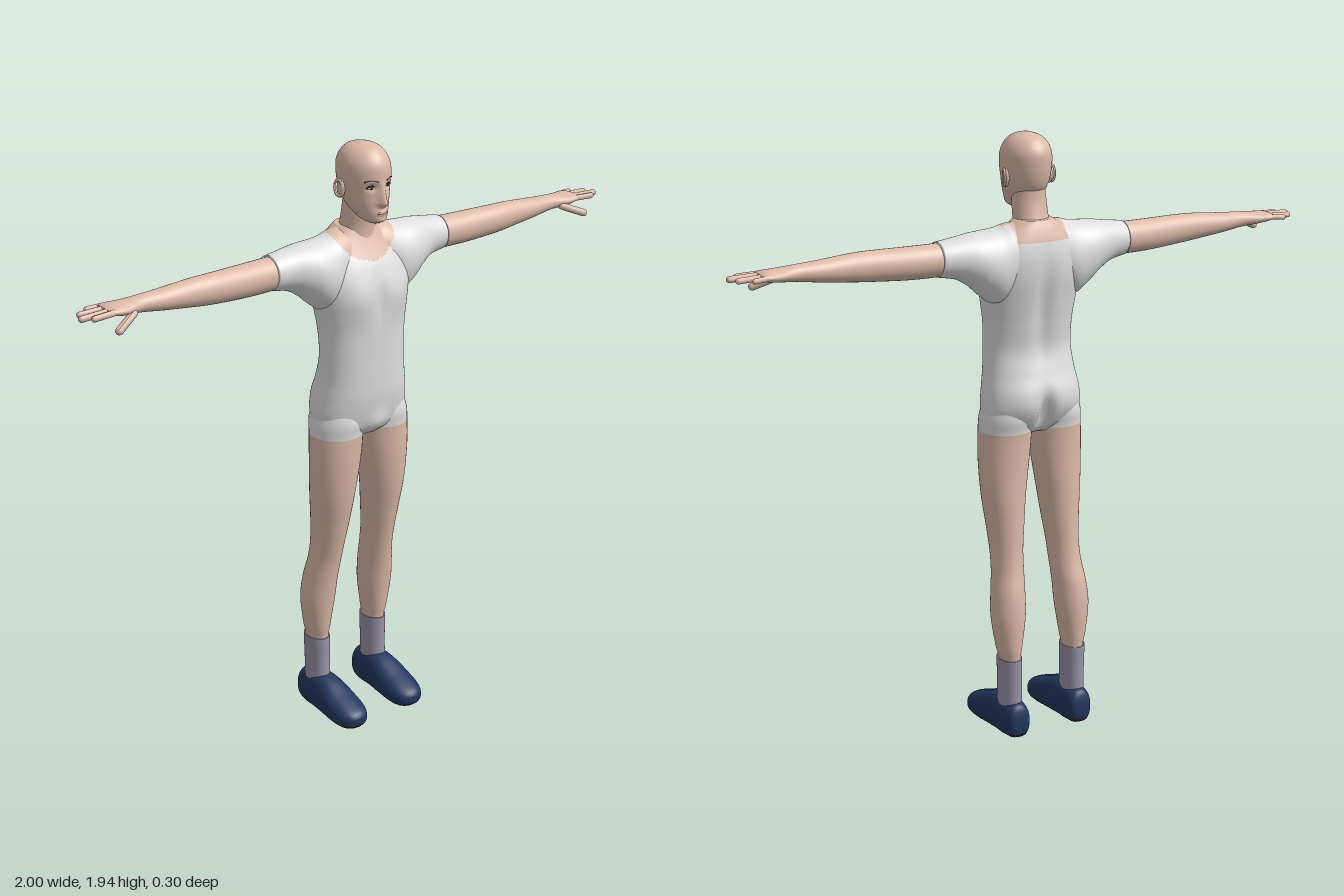
import * as THREE from 'three';

const mat = (name, color, side = THREE.FrontSide) => {
  const m = new THREE.MeshStandardMaterial({ color, side });
  m.name = name;
  return m;
};
const skin = mat('skin', 0xdcbaa8);
const shirt = mat('shirt white', 0xdedede);
const sockMat = mat('sock lilac', 0x9a94a8);
const shoeMat = mat('shoe navy', 0x23375f);
const soleMat = mat('sole black', 0x1d1d1f);
const eyeWhite = mat('eye white', 0xe8e6e2);
const dark = mat('brow and iris dark', 0x33261f);
const lipMat = mat('lip', 0xb98578);

const bell = (d, w) => Math.exp(-(d * d) / (w * w));
const clamp = THREE.MathUtils.clamp;

// Smooth interpolation between four keys
function spline(p0, p1, p2, p3, t) {
  const m1 = (p2 - p0) / 2, m2 = (p3 - p1) / 2, t2 = t * t, t3 = t2 * t;
  return (2 * t3 - 3 * t2 + 1) * p1 + (t3 - 2 * t2 + t) * m1 + (3 * t2 - 2 * t3) * p2 + (t3 - t2) * m2;
}

// Loft through rings [position, min1, max1, min2, max2] along an axis (ascending).
// shape(v) moves a vertex, pick(v) gives the material group of a face.
function loft(axis, keys, { seg = 32, steps = 5, n = 2, shape, pick } = {}) {
  const rows = [];
  for (let i = 0; i < keys.length - 1; i++) {
    const k = [keys[Math.max(i - 1, 0)], keys[i], keys[i + 1], keys[Math.min(i + 2, keys.length - 1)]];
    for (let s = 0; s < steps; s++) rows.push(k[1].map((_, j) => spline(k[0][j], k[1][j], k[2][j], k[3][j], s / steps)));
  }
  rows.push(keys[keys.length - 1]);

  const pts = [];
  const add = (p, a, b) => {
    const v = axis === 'x' ? new THREE.Vector3(p, a, b) : axis === 'y' ? new THREE.Vector3(a, p, b) : new THREE.Vector3(a, b, p);
    if (shape) shape(v);
    pts.push(v);
  };
  const power = c => Math.sign(c) * Math.abs(c) ** (2 / n);
  for (const [p, a0, a1, b0, b1] of rows) for (let j = 0; j < seg; j++) {
    const t = (j / seg) * Math.PI * 2;
    add(p, (a0 + a1) / 2 + (a1 - a0) / 2 * power(Math.cos(t)), (b0 + b1) / 2 + (b1 - b0) / 2 * power(Math.sin(t)));
  }
  const ends = [rows[0], rows[rows.length - 1]];
  for (const [p, a0, a1, b0, b1] of ends) add(p, (a0 + a1) / 2, (b0 + b1) / 2);

  const faces = [[], []];
  const tri = (a, b, c) => {
    const mid = pts[a].clone().add(pts[b]).add(pts[c]).divideScalar(3);
    faces[pick ? pick(mid) : 0].push(...(axis === 'y' ? [a, c, b] : [a, b, c]));
  };
  const last = (rows.length - 1) * seg, c0 = rows.length * seg;
  for (let j = 0; j < seg; j++) {
    const k = (j + 1) % seg;
    for (let r = 0; r < last; r += seg) {
      tri(r + j, r + k, r + seg + j);
      tri(r + k, r + seg + k, r + seg + j);
    }
    tri(c0, k, j);
    tri(c0 + 1, last + j, last + k);
  }
  const g = new THREE.BufferGeometry().setFromPoints(pts);
  g.setIndex([...faces[0], ...faces[1]]);
  if (pick) {
    g.addGroup(0, faces[0].length, 0);
    g.addGroup(faces[0].length, faces[1].length, 1);
  }
  g.computeVertexNormals();
  return g;
}

// Mirrored copy across x = 0
function mirror(geo) {
  const g = geo.clone().scale(-1, 1, 1);
  const ix = g.index.array;
  for (let i = 0; i < ix.length; i += 3) [ix[i], ix[i + 1]] = [ix[i + 1], ix[i]];
  g.computeVertexNormals();
  return g;
}

const ball = (x, y, z, rx, ry, rz) => new THREE.SphereGeometry(1, 20, 14).scale(rx, ry, rz).translate(x, y, z);
const tube = (points, r) => new THREE.TubeGeometry(new THREE.CatmullRomCurve3(points.map(p => new THREE.Vector3(...p))), 12, r, 6);
const sym = keys => keys.map(([y, h, z0, z1]) => [y, -h, h, z0, z1]);

// Round-ended finger between two points
function finger(a, b, r) {
  const from = new THREE.Vector3(...a), dir = new THREE.Vector3(...b).sub(from), len = dir.length();
  const g = new THREE.CapsuleGeometry(r, len - 2 * r, 5, 10).translate(0, len / 2, 0);
  g.applyQuaternion(new THREE.Quaternion().setFromUnitVectors(new THREE.Vector3(0, 1, 0), dir.normalize()));
  return g.translate(...a);
}

// Neckline: rounded scoop in front, squarer at the back
const neckline = v => {
  const scoop = v.z > -0.03 && (v.x / 0.115) ** 2 + ((v.y - 1.68) / 0.1) ** 2 < 1;
  const back = v.z <= -0.03 && Math.abs(v.x) < 0.09 && v.y > 1.618;
  return scoop || back ? 1 : 0;
};

export function createModel() {
  const model = new THREE.Group();
  const put = (name, geo, material) => {
    const m = new THREE.Mesh(geo, material);
    m.name = name;
    model.add(m);
  };
  const pair = (name, geo, material) => {
    put(name + 'Left', geo, material);
    put(name + 'Right', mirror(geo), material);
  };

  // Torso with spine groove, chest and seat
  put('torso', loft('y', sym([
    [1.0, 0.10, -0.06, 0.05], [1.03, 0.155, -0.09, 0.08], [1.08, 0.168, -0.113, 0.095], [1.14, 0.162, -0.118, 0.105],
    [1.20, 0.152, -0.10, 0.107], [1.27, 0.147, -0.082, 0.107], [1.35, 0.148, -0.09, 0.108], [1.42, 0.158, -0.10, 0.11],
    [1.50, 0.17, -0.113, 0.107], [1.56, 0.165, -0.115, 0.088], [1.61, 0.14, -0.108, 0.06], [1.65, 0.10, -0.095, 0.04],
    [1.68, 0.06, -0.08, 0.03]]), {
    seg: 96, steps: 6, n: 2.25, pick: neckline,
    shape: v => {
      if (v.z < -0.03) {
        v.z += 0.016 * bell(v.x, 0.028) * bell(v.y - 1.38, 0.16) + 0.03 * bell(v.x, 0.02) * bell(v.y - 1.07, 0.06);
        v.z -= 0.008 * bell(Math.abs(v.x) - 0.075, 0.05) * bell(v.y - 1.1, 0.05);
      } else if (v.z > 0.03) {
        v.z += 0.008 * bell(Math.abs(v.x) - 0.075, 0.05) * bell(v.y - 1.46, 0.05) - 0.006 * bell(v.x, 0.02) * bell(v.y - 1.46, 0.08);
        v.z += 0.012 * bell(v.x, 0.035) * bell(v.y - 1.05, 0.035);
      }
    } }), [shirt, skin]);

  // Shoulders and sleeves
  pair('sleeve', loft('x', [
    [0, 1.50, 1.67, -0.09, 0.04], [0.08, 1.46, 1.672, -0.10, 0.06], [0.13, 1.42, 1.66, -0.105, 0.075],
    [0.18, 1.45, 1.655, -0.103, 0.075], [0.22, 1.485, 1.652, -0.096, 0.062], [0.27, 1.515, 1.645, -0.083, 0.045],
    [0.33, 1.528, 1.637, -0.072, 0.038]], { seg: 72, steps: 8, pick: neckline }), [shirt, skin]);

  // Arms down to the palm
  pair('arm', loft('x', [
    [0.30, 1.53, 1.633, -0.068, 0.034], [0.42, 1.53, 1.632, -0.06, 0.036], [0.55, 1.538, 1.632, -0.048, 0.038],
    [0.62, 1.545, 1.63, -0.046, 0.034], [0.72, 1.557, 1.622, -0.044, 0.028], [0.79, 1.567, 1.618, -0.04, 0.022],
    [0.85, 1.573, 1.613, -0.053, 0.034], [0.89, 1.58, 1.611, -0.06, 0.034], [0.908, 1.588, 1.605, -0.054, 0.028]]), skin);

  // Fingers and thumb
  [[0.022, 0.026, 0.97, 0.0095], [0, 0.005, 1.0, 0.01], [-0.025, -0.03, 0.985, 0.0095], [-0.047, -0.059, 0.945, 0.0085]]
    .forEach(([z0, z1, x, r], i) => pair('finger' + (i + 1), finger([0.87, 1.597, z0], [x, 1.593, z1], r), skin));
  pair('thumb', finger([0.82, 1.585, 0.018], [0.91, 1.548, 0.06], 0.012), skin);

  // Legs, with the hem of the shorts above the thigh
  pair('leg', loft('y', [
    [0.10, 0.087, 0.148, -0.122, -0.036], [0.25, 0.085, 0.15, -0.124, -0.033], [0.30, 0.078, 0.16, -0.128, -0.026],
    [0.40, 0.063, 0.174, -0.132, -0.012], [0.48, 0.06, 0.168, -0.125, 0], [0.55, 0.056, 0.158, -0.108, 0.012],
    [0.62, 0.052, 0.156, -0.098, 0.028], [0.70, 0.042, 0.162, -0.093, 0.046], [0.80, 0.03, 0.172, -0.09, 0.066],
    [0.92, 0.012, 0.178, -0.088, 0.078], [1.01, 0.004, 0.176, -0.092, 0.082], [1.06, 0.004, 0.17, -0.10, 0.085],
    [1.12, 0.02, 0.15, -0.09, 0.07]], { seg: 36, pick: v => (v.y > 1.01 ? 1 : 0) }), [skin, shirt]);

  // Socks
  pair('sock', loft('y', [
    [0.05, 0.08, 0.155, -0.128, -0.02], [0.15, 0.081, 0.154, -0.128, -0.028], [0.25, 0.08, 0.156, -0.13, -0.027],
    [0.26, 0.081, 0.155, -0.129, -0.028]]), sockMat);

  // Shoes, flattened underneath to a dark sole
  pair('shoe', loft('z', [
    [-0.152, 0.095, 0.138, 0.03, 0.075], [-0.14, 0.078, 0.154, -0.004, 0.108], [-0.10, 0.069, 0.163, -0.012, 0.118],
    [-0.05, 0.066, 0.167, -0.012, 0.126], [0, 0.06, 0.172, -0.012, 0.116], [0.06, 0.056, 0.176, -0.012, 0.09],
    [0.11, 0.061, 0.171, -0.01, 0.07], [0.14, 0.078, 0.154, 0, 0.055], [0.152, 0.1, 0.132, 0.018, 0.04]], {
    seg: 48, n: 2.3, shape: v => { v.y = Math.max(v.y, 0.003 * (1 + Math.cos(v.z * 20 + 2.2)) * 0.5); },
    pick: v => (v.y < 0.013 ? 1 : 0) }), [shoeMat, soleMat]);

  // Neck
  put('neck', loft('y', sym([[1.58, 0.06, -0.085, 0.045], [1.64, 0.063, -0.08, 0.043], [1.68, 0.057, -0.065, 0.043],
    [1.73, 0.055, -0.053, 0.05], [1.78, 0.05, -0.05, 0.05]])), skin);

  // Head with nose, eye sockets and chin
  put('head', loft('y', sym([
    [1.703, 0.02, 0.055, 0.095], [1.715, 0.038, 0.02, 0.111], [1.74, 0.053, -0.025, 0.113], [1.77, 0.065, -0.052, 0.111],
    [1.80, 0.072, -0.066, 0.11], [1.84, 0.077, -0.074, 0.114], [1.88, 0.075, -0.075, 0.111], [1.91, 0.062, -0.06, 0.094],
    [1.93, 0.04, -0.035, 0.068], [1.94, 0.01, 0.005, 0.03]]), {
    seg: 96, steps: 8, shape: v => {
      if (v.z < 0.05) return;
      const ax = Math.abs(v.x);
      const nose = v.y > 1.768 ? clamp((1.835 - v.y) / 0.067, 0, 1) : clamp((v.y - 1.752) / 0.016, 0, 1);
      v.z += 0.027 * nose * bell(v.x, 0.009 + 0.005 * nose);
      v.z += 0.005 * bell(v.x, 0.022) * bell(v.y - 1.738, 0.009) - 0.009 * bell(ax - 0.03, 0.014) * bell(v.y - 1.818, 0.011);
      v.z += 0.004 * bell(v.x, 0.02) * bell(v.y - 1.713, 0.01);
    } }), skin);

  // Ears
  pair('ear', ball(0.077, 1.805, 0.008, 0.009, 0.029, 0.017), skin);
  pair('earRim', new THREE.TorusGeometry(0.017, 0.004, 8, 20).scale(0.85, 1.45, 1).rotateY(1.25).translate(0.084, 1.807, 0.005), skin);

  // Eyes, brows and mouth
  pair('eye', ball(0.031, 1.817, 0.092, 0.013, 0.005, 0.007), eyeWhite);
  pair('iris', ball(0.031, 1.817, 0.097, 0.005, 0.0048, 0.004), dark);
  pair('eyelid', tube([[0.016, 1.818, 0.099], [0.031, 1.8235, 0.1], [0.046, 1.817, 0.09]], 0.0022), dark);
  pair('brow', tube([[0.014, 1.836, 0.111], [0.032, 1.842, 0.103], [0.052, 1.836, 0.088]], 0.003), dark);
  put('lips', ball(0, 1.738, 0.1135, 0.019, 0.005, 0.005), lipMat);
  return model;
}
